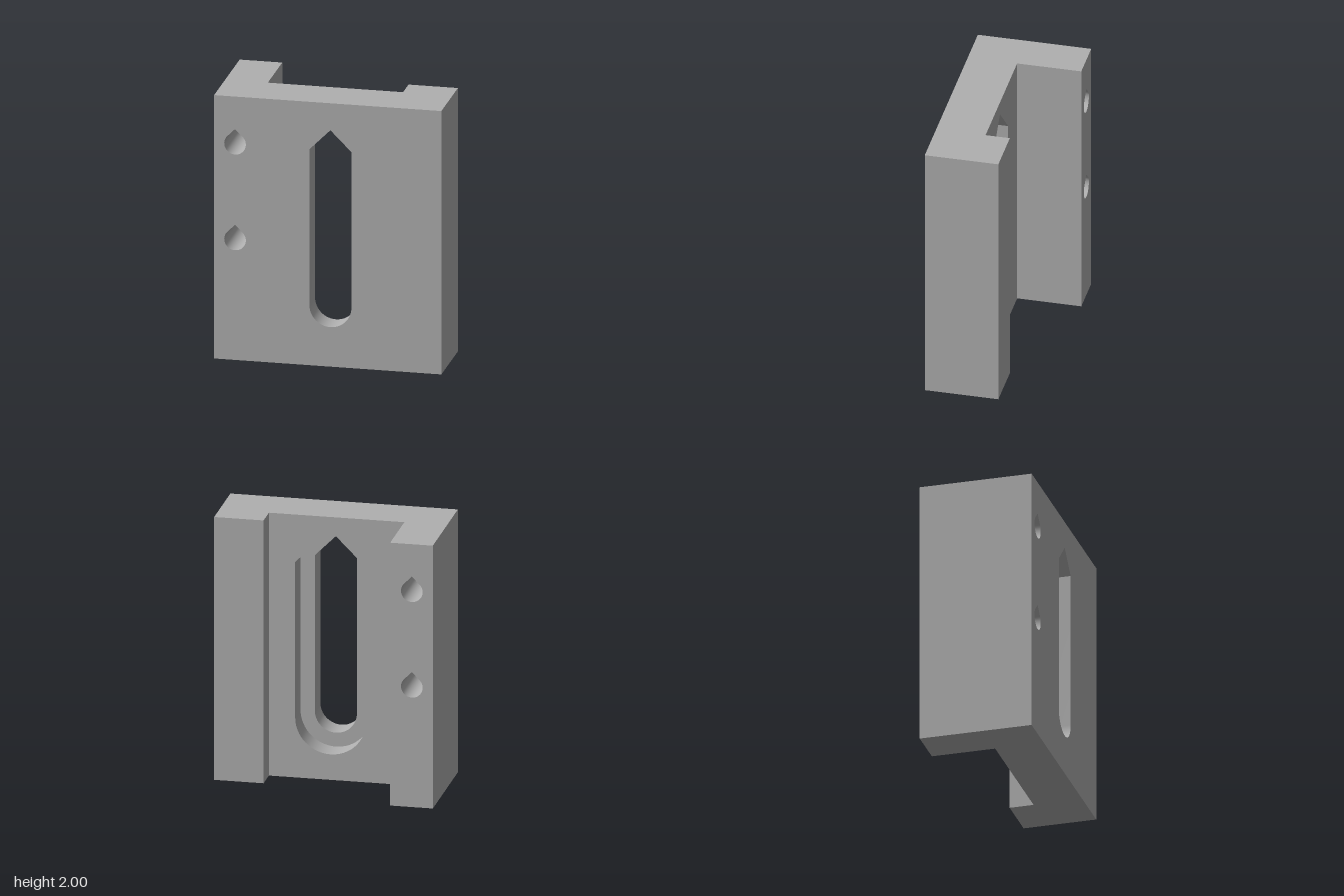
import * as THREE from 'three';
import { toCreasedNormals } from 'three/addons/utils/BufferGeometryUtils.js';

const V = (x, y) => new THREE.Vector2(x, y);

// Main dimensions
const W = 0.84, H = 2, FRONT = 0.42, WEB = 0.055, LEDGE = 0.235;
const TALL = { x: -0.525, z: -0.42 }, LOW = { x: 0.475, z: -0.125 };

// Counter-clockwise arc points
function arc(x, y, r, a0, a1, n) {
  return Array.from({ length: n + 1 }, (_, i) => {
    const a = a0 + (a1 - a0) * i / n;
    return V(x + r * Math.cos(a), y + r * Math.sin(a));
  });
}

// Slot with a round bottom and a 45 degree roof
const slot = (x, y0, y1, r) =>
  [V(x + r, y1), V(x, y1 + r), V(x - r, y1), ...arc(x, y0, r, Math.PI, 2 * Math.PI, 32)];

// Round hole with a 45 degree roof
const teardrop = (x, y, r) =>
  [V(x, y + r * Math.SQRT2), ...arc(x, y, r, Math.PI * 0.75, Math.PI * 2.25, 32)];

const rect = (x0, x1) => [V(x0, 0), V(x1, 0), V(x1, H), V(x0, H)];

// Flat face facing +z, or -z when flipped
function face(outline, holes = [], flip = false) {
  const shape = new THREE.Shape(outline);
  shape.holes = holes.map(h => new THREE.Path(h));
  const g = new THREE.ShapeGeometry(shape);
  if (flip) {
    g.index.array.reverse();
    g.computeVertexNormals();
  }
  return g;
}

// Inside wall of an opening, from z0 (back) to z1 (front)
function wall(points, z0, z1) {
  const pos = [];
  points.forEach((a, i) => {
    const b = points[(i + 1) % points.length];
    if (a.distanceTo(b) < 1e-6) return;
    pos.push(a.x, a.y, z0, a.x, a.y, z1, b.x, b.y, z1);
    pos.push(a.x, a.y, z0, b.x, b.y, z1, b.x, b.y, z0);
  });
  const g = new THREE.BufferGeometry();
  g.setAttribute('position', new THREE.Float32BufferAttribute(pos, 3));
  return toCreasedNormals(g, 0.4);
}

// Upright side panel facing +x (dir 1) or -x (dir -1)
const side = (x, z0, z1, dir) => new THREE.PlaneGeometry(z1 - z0, H)
  .rotateY(dir * Math.PI / 2).translate(x, H / 2, (z0 + z1) / 2);

export function createModel() {
  const group = new THREE.Group();
  const grey = new THREE.MeshStandardMaterial({ color: 0xb0b0b0 });
  grey.name = 'grey';
  const add = (name, geometry) => {
    const mesh = new THREE.Mesh(geometry, grey);
    mesh.name = name;
    group.add(mesh);
  };

  const narrowSlot = slot(0.02, 0.455, 1.64, 0.155);
  const wideSlot = slot(0.02, 0.455, 1.64, 0.261);
  const screwHoles = [1.64, 0.913].map(y => teardrop(-0.685, y, 0.08));

  // Front and back faces
  add('frontFace', face(rect(-W, W), [narrowSlot, ...screwHoles]).translate(0, 0, FRONT));
  add('webBack', face(rect(TALL.x, LOW.x), [wideSlot], true).translate(0, 0, WEB));
  add('tallRailBack', face(rect(-W, TALL.x), screwHoles, true).translate(0, 0, TALL.z));
  add('lowRailBack', face(rect(LOW.x, W), [], true).translate(0, 0, LOW.z));

  // Stepped slot and screw holes
  add('slotLedge', face(wideSlot, [narrowSlot], true).translate(0, 0, LEDGE));
  add('narrowSlotWall', wall(narrowSlot, LEDGE, FRONT));
  add('wideSlotWall', wall(wideSlot, WEB, LEDGE));
  screwHoles.forEach(h => add('screwHoleWall', wall(h, TALL.z, FRONT)));

  // Outer sides and inner flanks of the rails
  add('tallRailOuterSide', side(-W, TALL.z, FRONT, -1));
  add('lowRailOuterSide', side(W, LOW.z, FRONT, 1));
  add('tallRailInnerSide', side(TALL.x, TALL.z, WEB, 1));
  add('lowRailInnerSide', side(LOW.x, LOW.z, WEB, -1));

  // Channel-shaped end faces
  const profile = [
    V(-W, FRONT), V(W, FRONT), V(W, LOW.z), V(LOW.x, LOW.z),
    V(LOW.x, WEB), V(TALL.x, WEB), V(TALL.x, TALL.z), V(-W, TALL.z),
  ];
  add('bottom', face(profile).rotateX(Math.PI / 2));
  add('top', face(profile.map(p => V(p.x, -p.y))).rotateX(-Math.PI / 2).translate(0, H, 0));

  return group;
}
